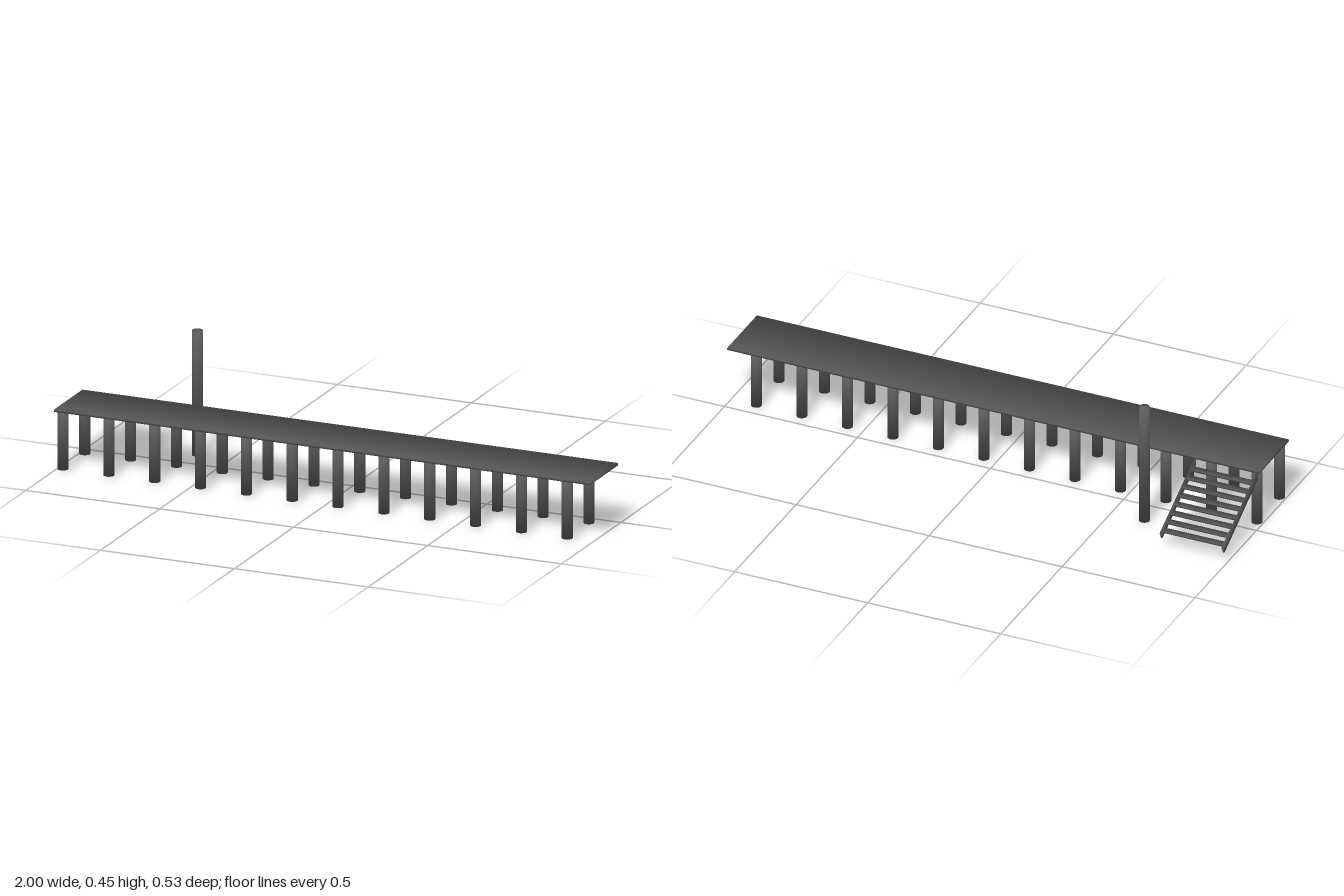
import * as THREE from 'three';

// Fully smooth shading: each corner averages the distinct face normals meeting there
function smooth(geometry) {
  const pos = geometry.attributes.position;
  const nor = geometry.attributes.normal;
  const key = (a, i) => [a.getX(i), a.getY(i), a.getZ(i)].map((v) => Math.round(v * 1e4)).join();
  const corners = new Map();
  for (let i = 0; i < pos.count; i++) {
    const k = key(pos, i);
    if (!corners.has(k)) corners.set(k, new Map());
    corners.get(k).set(key(nor, i), new THREE.Vector3().fromBufferAttribute(nor, i));
  }
  for (let i = 0; i < pos.count; i++) {
    const sum = new THREE.Vector3();
    for (const n of corners.get(key(pos, i)).values()) sum.add(n);
    sum.normalize();
    nor.setXYZ(i, sum.x, sum.y, sum.z);
  }
  return geometry;
}

export function createModel() {
  const root = new THREE.Group();
  const mat = new THREE.MeshStandardMaterial({ color: 0x5a5a5a });

  function add(name, geometry, x, y, z) {
    const mesh = new THREE.Mesh(geometry, mat);
    mesh.name = name;
    mesh.position.set(x, y, z);
    root.add(mesh);
  }

  // Long flat walkway
  add('deck', smooth(new THREE.BoxGeometry(2, 0.008, 0.242)), 0, 0.216, 0.143);

  // Two rows of supporting piles
  const pileGeo = smooth(new THREE.CylinderGeometry(0.019, 0.019, 0.208, 16));
  for (let i = 0; i < 12; i++) {
    for (const z of [0.2355, 0.052]) add('pile', pileGeo, -0.978 + i * 0.1711, 0.106, z);
  }

  // Tall free-standing mooring post behind the deck
  const postGeo = smooth(new THREE.CylinderGeometry(0.019, 0.019, 0.448, 16));
  add('mooringPost', postGeo, -0.623, 0.224, -0.096);

  // Stair stringers: side profile drawn as (-z, y), then turned to face along x
  const profile = new THREE.Shape([
    [-0.022, 0.217], [-0.022, 0.191], [0.251, 0.045], [0.263, 0.069],
  ].map(([a, b]) => new THREE.Vector2(a, b)));
  const stringerGeo = new THREE.ExtrudeGeometry(profile, { depth: 0.006, bevelEnabled: false });
  stringerGeo.translate(0, 0, -0.003);
  stringerGeo.rotateY(Math.PI / 2);
  smooth(stringerGeo);
  for (const x of [-0.993, -0.76]) add('stairStringer', stringerGeo, x, 0, 0);

  // Flat treads between the stringers
  const treadGeo = smooth(new THREE.BoxGeometry(0.23, 0.006, 0.026));
  for (let i = 0; i < 8; i++) {
    const z = -0.2375 + i * 0.0328;
    add('stairTread', treadGeo, -0.8765, 0.194 + 0.527 * z, z);
  }

  return root;
}
